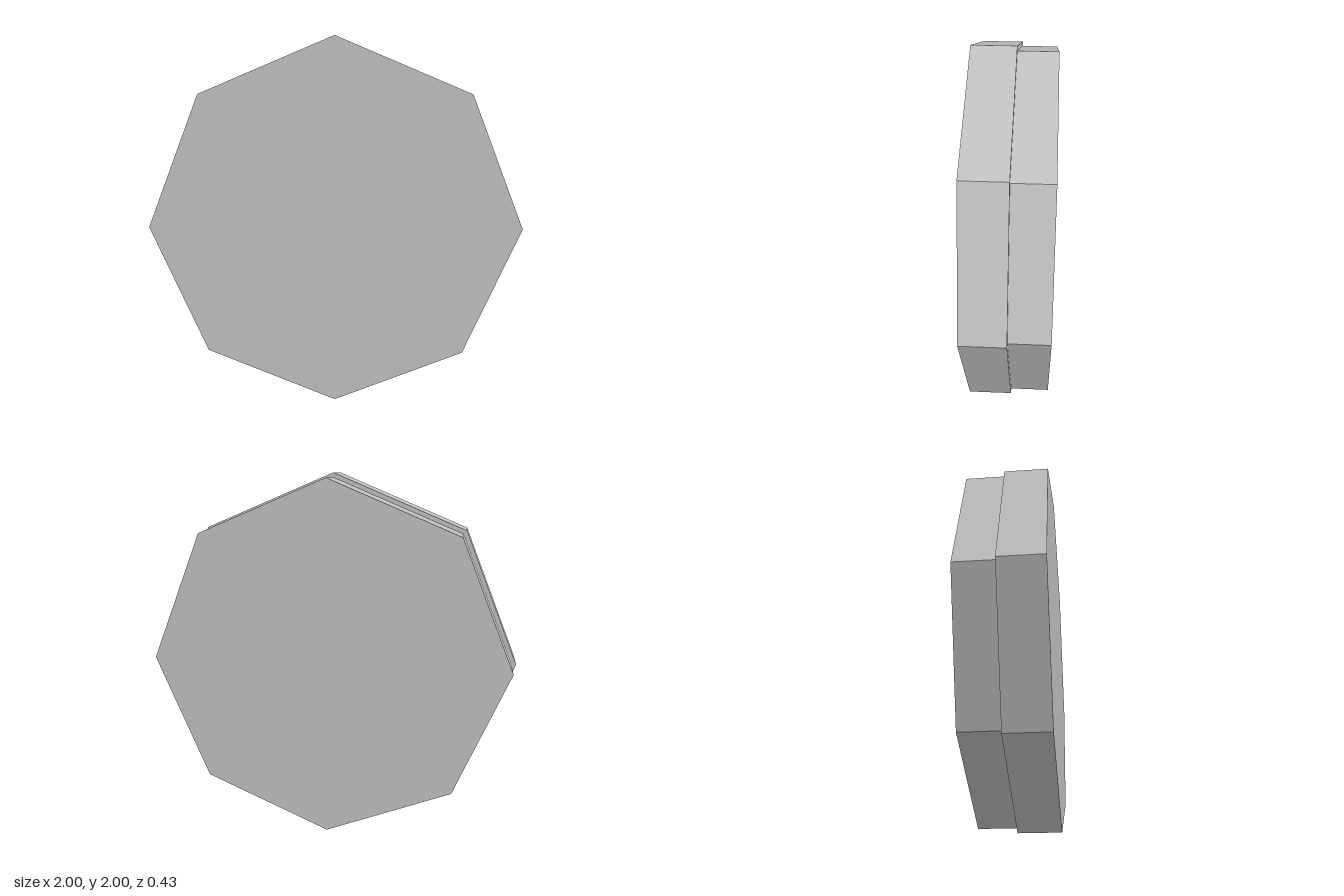
import * as THREE from 'three';

export function createModel() {
  const model = new THREE.Group();
  model.name = 'octagonalDisc';

  const grey = new THREE.MeshStandardMaterial({ color: 0xc0c0c0 });
  grey.name = 'light grey';
  grey.flatShading = true;

  // Eight-sided plate facing +z, with corners on the x and y axes
  function addPlate(name, radius, zBack, zFront) {
    const geometry = new THREE.CylinderGeometry(radius, radius, zFront - zBack, 8);
    geometry.rotateX(Math.PI / 2);
    const plate = new THREE.Mesh(geometry, grey);
    plate.name = name;
    plate.position.set(0, 1, (zFront + zBack) / 2);
    model.add(plate);
  }

  // Wide front plate and slightly smaller back plate
  addPlate('frontPlate', 1, -0.012, 0.213);
  addPlate('backPlate', 0.975, -0.213, -0.012);

  return model;
}
